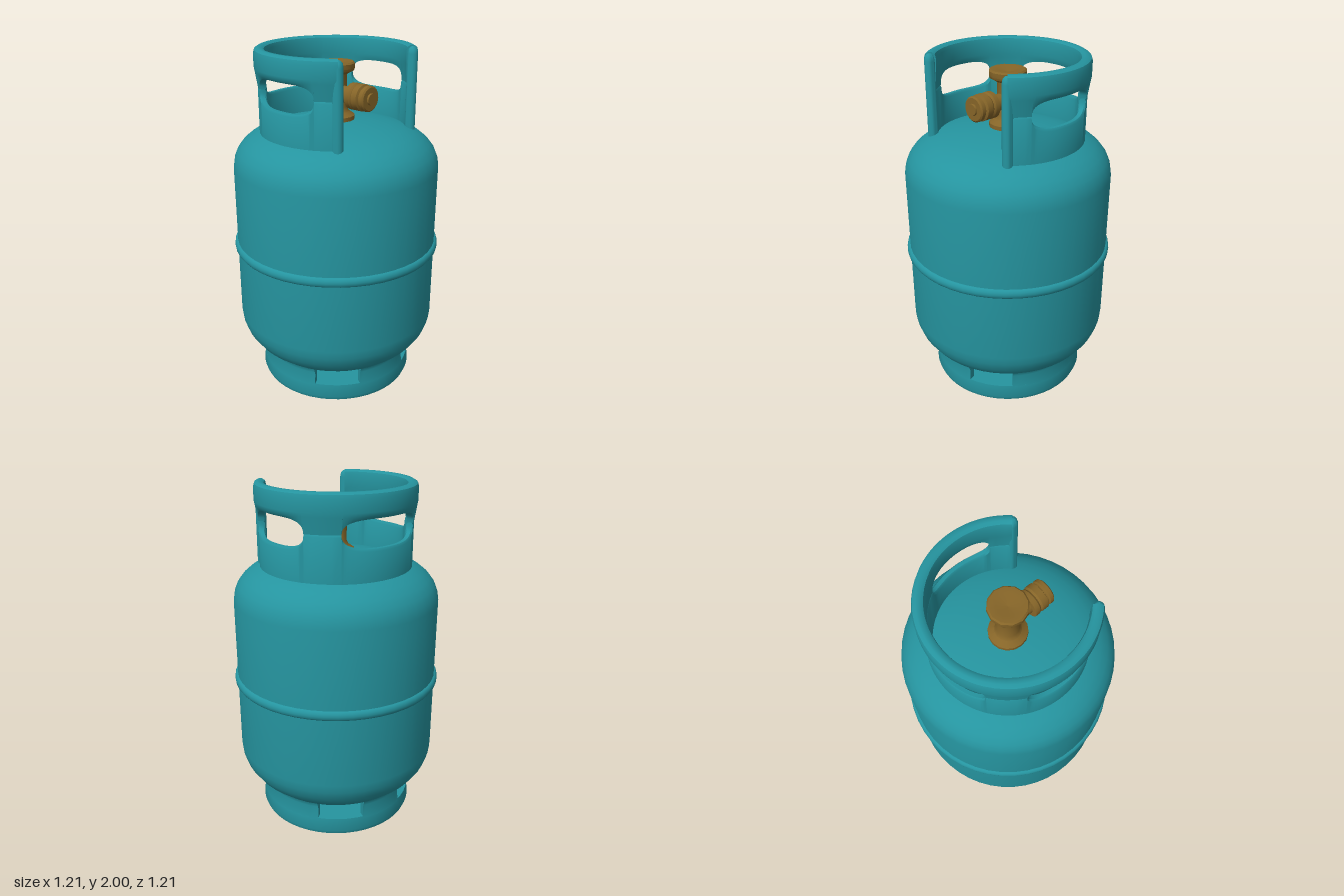
import * as THREE from 'three';
import { toCreasedNormals } from 'three/addons/utils/BufferGeometryUtils.js';

const teal = new THREE.MeshStandardMaterial({ color: 0x25949f });
const brass = new THREE.MeshStandardMaterial({ color: 0x866528 });
const rad = THREE.MathUtils.degToRad;

function add(parent, name, geometry, material) {
  const mesh = new THREE.Mesh(geometry, material);
  mesh.name = name;
  parent.add(mesh);
  return mesh;
}

function lathe(points, sides, crease = 0.6) {
  const g = new THREE.LatheGeometry(points.map(([r, y]) => new THREE.Vector2(r, y)), sides);
  return toCreasedNormals(g, crease);
}

// Sweep a closed (radius, height) profile around y; angles in degrees from +z.
function arcSweep(profileAt, angles) {
  const pos = [], idx = [];
  const n = profileAt(angles[0]).length;
  for (const a of angles) {
    for (const [r, y] of profileAt(a)) pos.push(r * Math.sin(rad(a)), y, r * Math.cos(rad(a)));
  }
  for (let i = 0; i < angles.length - 1; i++) {
    for (let j = 0; j < n; j++) {
      const p = i * n + j, q = i * n + (j + 1) % n;
      idx.push(p, p + n, q + n, p, q + n, q);
    }
  }
  const end = (angles.length - 1) * n;
  for (let j = 1; j < n - 1; j++) {
    idx.push(0, j, j + 1, end, end + j + 1, end + j);
  }
  const g = new THREE.BufferGeometry();
  g.setAttribute('position', new THREE.Float32BufferAttribute(pos, 3));
  g.setIndex(idx);
  return toCreasedNormals(g, 0.7);
}

function span(from, to, steps, eased = false) {
  return Array.from({ length: steps + 1 }, (_, i) => {
    const t = eased ? (1 - Math.cos(Math.PI * i / steps)) / 2 : i / steps;
    return from + (to - from) * t;
  });
}

function createCollar() {
  const collar = new THREE.Group();
  collar.name = 'collar';
  const start = 46, stop = 314, mid = 1.79;
  const windows = [[62, 119], [145, 215], [241, 298]];

  // Denser columns near the rounded window ends
  const angles = [start];
  let last = start;
  for (const [a, b] of windows) {
    angles.push(...span(last, a, 4).slice(1), ...span(a, b, 24, true).slice(1));
    last = b;
  }
  angles.push(...span(last, stop, 4).slice(1));

  const opening = (a) => {
    const w = windows.find(([p, q]) => a > p && a < q);
    if (!w) return 0;
    const u = (2 * a - w[0] - w[1]) / (w[1] - w[0]);
    return Math.pow(Math.max(0, 1 - Math.abs(u) ** 4), 0.4);
  };

  add(collar, 'collarLowerWall', arcSweep((a) => {
    const top = mid - 0.08 * opening(a);
    return [[0.393, 1.5], [0.43, 1.5], [0.43, top - 0.012], [0.422, top], [0.401, top], [0.393, top - 0.012]];
  }, angles), teal);

  add(collar, 'collarUpperRim', arcSweep((a) => {
    const low = mid + 0.075 * opening(a);
    return [[0.395, low], [0.43, low], [0.444, 1.878], [0.448, 1.9], [0.448, 1.97], [0.442, 1.99], [0.425, 2],
      [0.405, 2], [0.39, 1.99], [0.385, 1.97], [0.386, 1.9], [0.39, 1.878]];
  }, angles), teal);

  // Rounded beads closing the two front edges
  for (const a of [start, stop]) {
    const bead = add(collar, 'collarEndBead', lathe(
      [[0, 1.51], [0.029, 1.51], [0.029, 1.955], [0.024, 1.98], [0.012, 1.992], [0, 1.995]], 14, 0.9), teal);
    bead.position.set(0.42 * Math.sin(rad(a)), 0, 0.42 * Math.cos(rad(a)));
  }
  return collar;
}

function createBase() {
  const base = new THREE.Group();
  base.name = 'footRing';
  add(base, 'footRingLower', lathe([[0, 0], [0.425, 0], [0.45, 0.01], [0.46, 0.035], [0.452, 0.112],
    [0.415, 0.112], [0.415, 0.04], [0, 0.04]], 48), teal);

  // Panels between four openings
  const openings = [33, 145, 215, 314], half = 17;
  openings.forEach((c, i) => {
    const next = i < 3 ? openings[i + 1] : openings[0] + 360;
    add(base, 'footRingPanel', arcSweep(
      () => [[0.415, 0.1], [0.453, 0.1], [0.446, 0.185], [0.452, 0.212], [0.475, 0.24], [0.41, 0.24]],
      span(c + half, next - half, 12)), teal);
  });
  return base;
}

function createValve() {
  const valve = new THREE.Group();
  valve.name = 'valve';
  add(valve, 'valveStem', lathe([[0, 1.58], [0.105, 1.58], [0.105, 1.622], [0.095, 1.63], [0.072, 1.645],
    [0.06, 1.67], [0.06, 1.84], [0.066, 1.862], [0.066, 1.875], [0, 1.875]], 16), brass);
  add(valve, 'valveHandwheel', lathe([[0, 1.855], [0.07, 1.855], [0.1, 1.872], [0.105, 1.885], [0.105, 1.91],
    [0.097, 1.918], [0.06, 1.918], [0, 1.898]], 12), brass);
  // Ribbed outlet pointing forward
  const outlet = add(valve, 'valveOutlet', lathe([[0, 0], [0.045, 0], [0.045, 0.122], [0.073, 0.124], [0.073, 0.152],
    [0.066, 0.162], [0.073, 0.172], [0.073, 0.207], [0.06, 0.213], [0.06, 0.22], [0.07, 0.225], [0.07, 0.245],
    [0.062, 0.252], [0.032, 0.252], [0.03, 0.262], [0, 0.262]], 20), brass);
  outlet.rotation.x = Math.PI / 2;
  outlet.position.y = 1.746;
  return valve;
}

export function createModel() {
  const model = new THREE.Group();
  model.name = 'gasCylinder';

  // Tank with rounded shoulder and bottom
  add(model, 'tank', lathe([[0, 0.105], [0.15, 0.11], [0.28, 0.132], [0.38, 0.17], [0.46, 0.217], [0.52, 0.268],
    [0.56, 0.325], [0.58, 0.38], [0.586, 0.43], [0.586, 1.34], [0.578, 1.39], [0.56, 1.433], [0.53, 1.472],
    [0.49, 1.505], [0.44, 1.533], [0.38, 1.555], [0.3, 1.575], [0.2, 1.59], [0.1, 1.6], [0, 1.602]], 48), teal);

  // Weld seam around the middle
  add(model, 'weldSeam', lathe([[0.58, 0.838], [0.594, 0.842], [0.602, 0.853], [0.604, 0.867], [0.602, 0.881],
    [0.594, 0.892], [0.58, 0.896]], 48, 1), teal);

  model.add(createBase(), createCollar(), createValve());
  return model;
}
